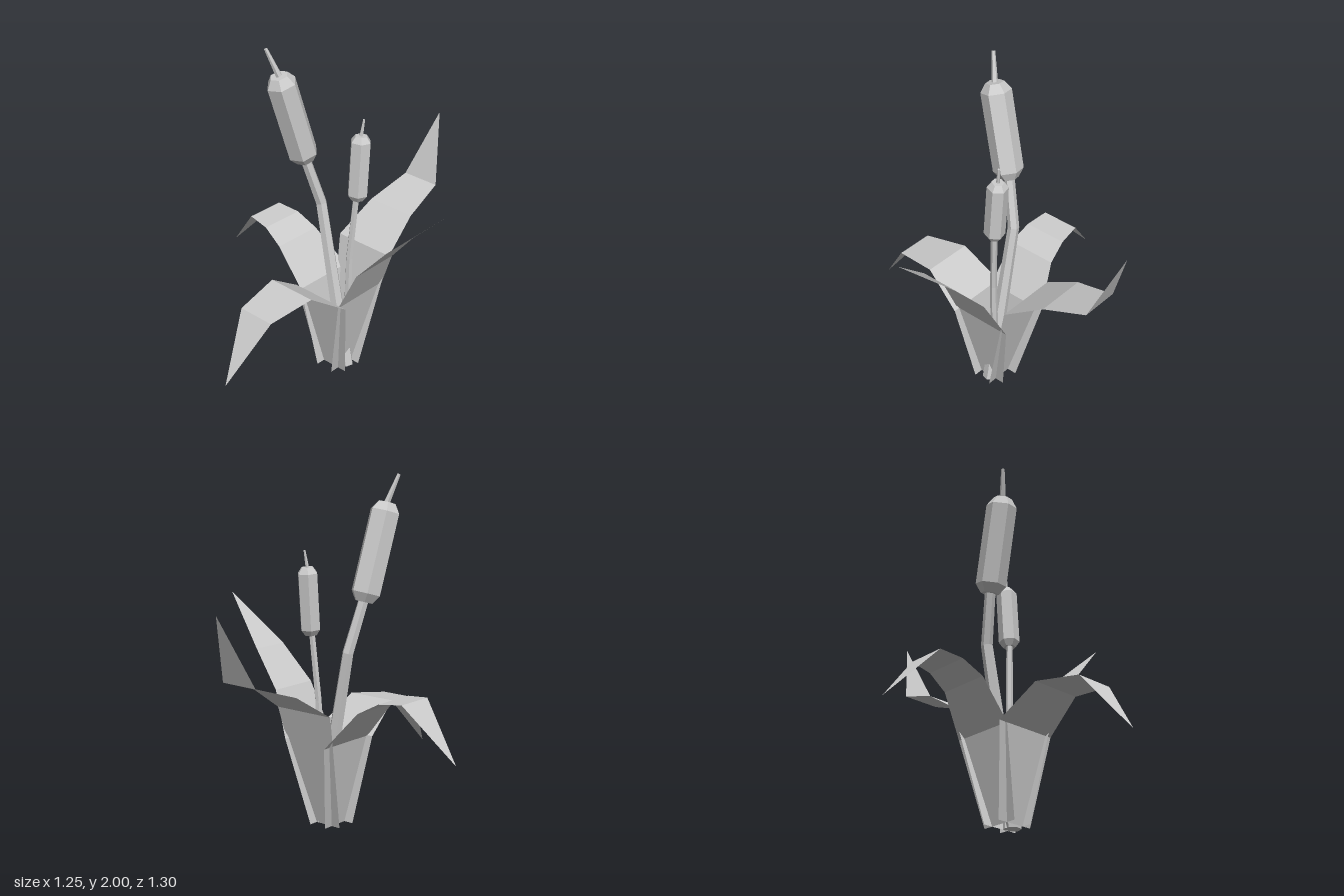
import * as THREE from 'three';

const material = new THREE.MeshStandardMaterial({ color: 0xcccccc, flatShading: true, side: THREE.DoubleSide });

function makeMesh(name, positions) {
  const geometry = new THREE.BufferGeometry();
  geometry.setAttribute('position', new THREE.Float32BufferAttribute(positions, 3));
  geometry.computeVertexNormals();
  const mesh = new THREE.Mesh(geometry, material);
  mesh.name = name;
  return mesh;
}

// Folded ribbon: rows of [x, y, z, half width], closed by a pointed tip
function leaf(name, rows, tip) {
  const side = new THREE.Vector3(-tip[2], 0, tip[0]).normalize();
  const pairs = rows.map(([x, y, z, w]) => [
    [x - side.x * w, y, z - side.z * w],
    [x + side.x * w, y, z + side.z * w],
  ]);
  const out = [];
  for (let i = 0; i < pairs.length - 1; i++) {
    const [a, b] = pairs[i], [c, d] = pairs[i + 1];
    out.push(...a, ...b, ...d, ...a, ...d, ...c);
  }
  const [a, b] = pairs[pairs.length - 1];
  out.push(...a, ...b, ...tip);
  return makeMesh(name, out);
}

// Six-sided capped loft through sections of [x, y, z, radius]
function loft(name, sections, sides = 6) {
  const centres = sections.map(([x, y, z]) => new THREE.Vector3(x, y, z));
  const up = new THREE.Vector3(0, 1, 0);
  const last = sections.length - 1;
  const rings = sections.map((s, i) => {
    const tangent = centres[Math.min(i + 1, last)].clone().sub(centres[Math.max(i - 1, 0)]).normalize();
    // the ring on the ground lies flat
    const turn = new THREE.Quaternion().setFromUnitVectors(up, s[1] === 0 ? up : tangent);
    return Array.from({ length: sides }, (_, k) => {
      const t = (k / sides) * Math.PI * 2;
      return new THREE.Vector3(Math.sin(t) * s[3], 0, Math.cos(t) * s[3])
        .applyQuaternion(turn).add(centres[i]).toArray();
    });
  });
  const out = [];
  for (let k = 0; k < sides; k++) {
    const n = (k + 1) % sides;
    for (let i = 0; i < last; i++) {
      const a = rings[i][k], b = rings[i][n], c = rings[i + 1][n], d = rings[i + 1][k];
      out.push(...a, ...b, ...c, ...a, ...c, ...d);
    }
    out.push(...centres[0].toArray(), ...rings[0][n], ...rings[0][k]);
    out.push(...centres[last].toArray(), ...rings[last][k], ...rings[last][n]);
  }
  return makeMesh(name, out);
}

// Stem, bevelled seed head and thin spike along one axis
function cattail(name, stem, bottom, top, radius, spikeTip, spikeRadius) {
  const group = new THREE.Group();
  group.name = name;
  const bevel = (t, r) => [...bottom.map((v, i) => v + (top[i] - v) * t), r];
  const inset = radius * 0.6, edge = radius * 0.55 / (top[1] - bottom[1]);
  group.add(
    loft('stem', stem),
    loft('seedHead', [bevel(0, inset), bevel(edge, radius), bevel(1 - edge, radius), bevel(1, inset)]),
    loft('spike', [[...top, spikeRadius], [...spikeTip, spikeRadius * 0.55]]),
  );
  return group;
}

export function createModel() {
  const model = new THREE.Group();
  model.name = 'cattailPlant';
  const base = (sx, sz) => [0.04 * sx, 0, 0.04 * sz, 0.115];

  // Four leaves, one to each diagonal
  model.add(
    leaf('frontRightLeaf', [
      base(-1, 1),
      [-0.097, 0.515, 0.103, 0.192],
      [-0.26, 0.675, 0.27, 0.153],
      [-0.45, 0.635, 0.47, 0.115],
    ], [-0.62, 0.3, 0.65]),
    leaf('backRightLeaf', [
      base(-1, -1),
      [-0.08, 0.51, -0.13, 0.192],
      [-0.23, 0.725, -0.225, 0.153],
      [-0.322, 0.795, -0.312, 0.134],
      [-0.425, 0.81, -0.41, 0.116],
    ], [-0.625, 0.5, -0.6]),
    leaf('backLeftLeaf', [
      base(1, -1),
      [0.16, 0.7, -0.172, 0.192],
      [0.322, 0.85, -0.35, 0.154],
      [0.51, 0.94, -0.54, 0.117],
    ], [0.62, 1.33, -0.65]),
    leaf('frontLeftLeaf', [
      base(1, 1),
      [0.13, 0.515, 0.085, 0.19],
      [0.203, 0.77, 0.185, 0.154],
      [0.335, 0.98, 0.313, 0.115],
    ], [0.555, 1.27, 0.52]),
  );

  // Tall and short cattails
  model.add(
    cattail('tallCattail',
      [[0.05, 0, 0.03, 0.045], [-0.09, 1.02, -0.11, 0.033], [-0.18, 1.32, -0.087, 0.03]],
      [-0.177, 1.3, -0.09], [-0.31, 1.84, -0.012], 0.087, [-0.376, 1.995, -0.008], 0.018),
    cattail('shortCattail',
      [[0.05, 0, 0, 0.026], [0.068, 0.72, 0.01, 0.02], [0.105, 1.12, 0.008, 0.018]],
      [0.11, 1.1, 0.008], [0.13, 1.485, -0.012], 0.06, [0.145, 1.58, -0.015], 0.011),
  );
  return model;
}
